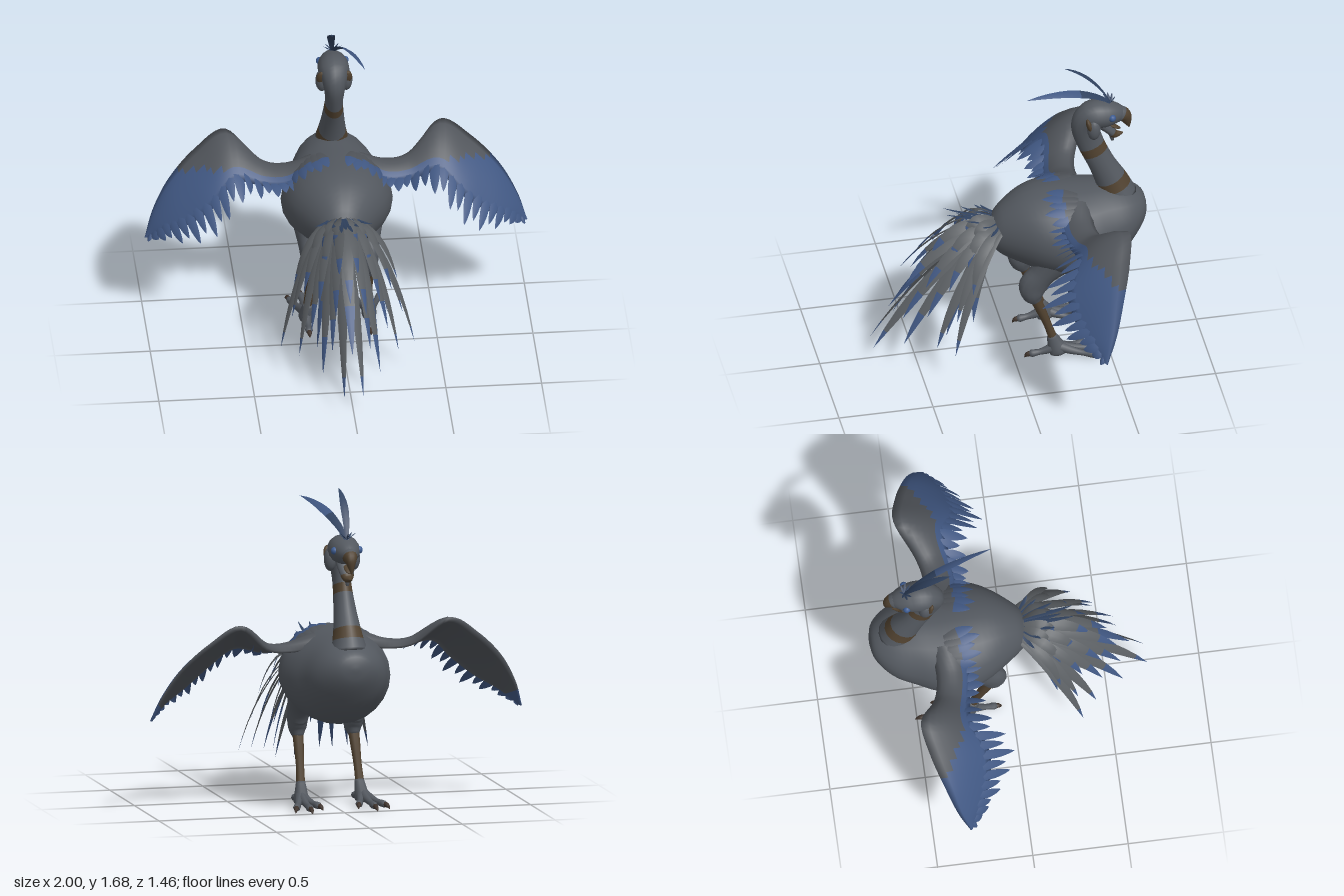
import * as THREE from 'three';

const V = (a) => new THREE.Vector3(...a);
const flat = (name, color, side = THREE.FrontSide) => {
  const m = new THREE.MeshStandardMaterial({ color, side });
  m.name = name;
  return m;
};
const curve = (pts) => new THREE.CatmullRomCurve3(pts.map(V), false, 'catmullrom');

// indexed geometry from points and one face list per material
function solid(pos, faces) {
  const g = new THREE.BufferGeometry();
  g.setAttribute('position', new THREE.Float32BufferAttribute(pos.flatMap((p) => [p.x, p.y, p.z]), 3));
  g.setIndex(faces.flat());
  let start = 0;
  faces.forEach((f, i) => { g.addGroup(start, f.length, i); start += f.length; });
  g.computeVertexNormals();
  return g;
}

// smooth body through stations [x, y, z, halfWidth, halfHeight]; angle j/sides starts at +x
function sweep(st, { sides = 14, rows = 4 * (st.length - 1), dir = null, paint = () => 0, colors = 1 } = {}) {
  const path = curve(st.map((s) => s.slice(0, 3)));
  const size = curve(st.map((s) => [s[3], s[4] ?? s[3], 0]));
  const pos = [], faces = Array.from({ length: colors }, () => []);
  for (let i = 0; i <= rows; i++) {
    const c = path.getPoint(i / rows), r = size.getPoint(i / rows);
    const t = dir ? V(dir) : path.getTangent(i / rows);
    const s = V([1, 0, 0]).addScaledVector(t, -t.x).normalize();
    const n = t.clone().cross(s);
    for (let j = 0; j < sides; j++) {
      const a = (j / sides) * Math.PI * 2;
      pos.push(c.clone().addScaledVector(s, Math.max(r.x, 0.001) * Math.cos(a))
        .addScaledVector(n, Math.max(r.y, 0.001) * Math.sin(a)));
      if (i === rows) continue;
      const p = i * sides + j, q = i * sides + (j + 1) % sides;
      faces[paint((i + 0.5) / rows)].push(p, q, q + sides, p, q + sides, p + sides);
    }
  }
  const last = rows * sides;
  pos.push(path.getPoint(0), path.getPoint(1));
  for (let j = 0; j < sides; j++) {
    const k = (j + 1) % sides;
    faces[paint(0)].push(last + sides, k, j);
    faces[paint(1)].push(last + sides + 1, last + j, last + k);
  }
  return solid(pos, faces);
}

// thin curved blade with a raised shaft; second material past the split
function feather(base, ctrl, tip, w, split = 0.7, up = V([0, 1, 0])) {
  const c = new THREE.QuadraticBezierCurve3(base, ctrl, tip), rows = 9;
  const pos = [], faces = [[], []];
  for (let i = 0; i <= rows; i++) {
    const u = i / rows, p = c.getPoint(u), t = c.getTangent(u);
    const s = t.clone().cross(up).normalize(), n = s.clone().cross(t);
    const h = w * Math.min(1, 0.4 + 1.2 * u) * Math.pow(1 - u ** 3, 0.85);
    pos.push(p.clone().addScaledVector(s, -h), p.clone().addScaledVector(n, h * 0.2), p.clone().addScaledVector(s, h));
    if (i < rows) for (const k of [3 * i, 3 * i + 1]) {
      faces[u < split ? 0 : 1].push(k, k + 1, k + 4, k, k + 4, k + 3);
    }
  }
  return solid(pos, faces);
}

function mirrored(g) {
  const m = g.clone().scale(-1, 1, 1), ix = m.index.array;
  for (let i = 0; i < ix.length; i += 3) [ix[i], ix[i + 1]] = [ix[i + 1], ix[i]];
  m.computeVertexNormals();
  return m;
}

export function createModel() {
  const model = new THREE.Group();
  const slate = flat('slate', 0x53585f);
  const covert = flat('wing slate', 0x50545a, THREE.DoubleSide);
  const grey = flat('feather grey', 0x5a5e62, THREE.DoubleSide);
  const blue = flat('feather blue', 0x405782, THREE.DoubleSide);
  const navy = flat('crest navy', 0x30425f, THREE.DoubleSide);
  const brown = flat('brown', 0x50412f);
  const claw = flat('claw', 0x40342d);
  const eyeBlue = flat('eye blue', 0x3d5c92);

  const add = (name, geo, mats, pair = false) => {
    const put = (n, g) => {
      const m = new THREE.Mesh(g, mats);
      m.name = n;
      model.add(m);
    };
    put(pair ? name + 'Left' : name, geo);
    if (pair) put(name + 'Right', mirrored(geo));
  };

  // body: [z, bottom, top, half width]
  add('body', sweep([
    [0.1, 0.67, 0.78, 0.05], [0.08, 0.63, 0.81, 0.09], [0.04, 0.59, 0.86, 0.13], [-0.05, 0.545, 0.92, 0.2],
    [-0.15, 0.5, 0.95, 0.26], [-0.27, 0.465, 0.955, 0.292], [-0.4, 0.455, 0.95, 0.272], [-0.5, 0.49, 0.945, 0.232],
    [-0.6, 0.56, 0.925, 0.195], [-0.67, 0.645, 0.895, 0.145], [-0.715, 0.72, 0.86, 0.085], [-0.73, 0.78, 0.81, 0.02],
  ].map(([z, b, t, w]) => [0, (b + t) / 2, z, w, (t - b) / 2]), { sides: 24, rows: 33, dir: [0, 0, -1] }), slate);

  // neck and skull, with brown collars
  add('neckAndHead', sweep([
    [0, 0.86, -0.585, 0.1, 0.1], [0, 0.96, -0.55, 0.075, 0.085], [0, 1.08, -0.495, 0.058, 0.07], [0, 1.22, -0.435, 0.047, 0.07],
    [0, 1.33, -0.408, 0.06, 0.073], [0, 1.385, -0.445, 0.08, 0.077], [0, 1.387, -0.51, 0.08, 0.073],
    [0, 1.382, -0.57, 0.06, 0.056], [0, 1.375, -0.615, 0.03, 0.03],
  ], { sides: 16, rows: 48, colors: 2, paint: (u) => ((u > 0.08 && u < 0.155) || (u > 0.31 && u < 0.352) ? 1 : 0) }), [slate, brown]);
  add('upperBeak', sweep([[0, 1.375, -0.54, 0.058, 0.05], [0, 1.374, -0.59, 0.045, 0.046], [0, 1.358, -0.618, 0.034, 0.038],
    [0, 1.325, -0.632, 0.02, 0.025], [0, 1.283, -0.643, 0.003, 0.004]], { colors: 2, paint: (u) => (u > 0.4 ? 1 : 0) }), [slate, brown]);
  add('lowerBeak', sweep([[0, 1.335, -0.49, 0.05, 0.03], [0, 1.285, -0.535, 0.042, 0.024], [0, 1.25, -0.565, 0.028, 0.022],
    [0, 1.25, -0.61, 0.004, 0.004]], { colors: 2, paint: (u) => (u > 0.5 ? 1 : 0) }), [slate, brown]);
  add('chinTuft', sweep([[0, 1.26, -0.55, 0.02], [0, 1.21, -0.555, 0.008]], { sides: 8 }), slate);
  add('tongue', new THREE.SphereGeometry(1, 10, 6).scale(0.02, 0.008, 0.045).rotateX(-0.5).translate(0, 1.3, -0.56), brown);
  add('cheek', new THREE.SphereGeometry(1, 14, 10).scale(0.033, 0.062, 0.036).translate(0.064, 1.335, -0.443), slate, true);
  add('ear', new THREE.SphereGeometry(1, 12, 8).scale(0.026, 0.042, 0.015).rotateX(0.25).translate(0.068, 1.365, -0.418), brown, true);
  add('eye', new THREE.SphereGeometry(0.02, 12, 8).translate(0.066, 1.395, -0.54), eyeBlue, true);

  // crest
  const root = V([0, 1.45, -0.545]);
  add('longCrestFeather', feather(root, V([0.055, 1.61, -0.39]), V([0.13, 1.615, -0.07]), 0.028, 0.4, V([0.45, 1, 0])), [navy, blue]);
  add('tallCrestFeather', feather(root, V([-0.02, 1.63, -0.455]), V([-0.02, 1.685, -0.3]), 0.024), [navy, navy]);
  for (let i = 0; i < 8; i++) {
    const a = (i / 8) * Math.PI * 2, x = Math.cos(a), z = Math.sin(a);
    const tip = V([x * 0.05, 1.485, -0.535 + z * 0.035]);
    add('crestTuft', feather(root, root.clone().lerp(tip, 0.5), tip, 0.007), [navy, navy]);
  }

  // legs and feet
  add('thigh', sweep([[0.15, 0.62, -0.23, 0.09, 0.12], [0.15, 0.525, -0.155, 0.065, 0.075], [0.15, 0.455, -0.107, 0.053, 0.08],
    [0.15, 0.395, -0.102, 0.047, 0.06], [0.15, 0.345, -0.12, 0.025, 0.028]]), slate, true);
  add('shin', sweep([[0.15, 0.37, -0.112, 0.03], [0.152, 0.3, -0.14, 0.027], [0.155, 0.2, -0.177, 0.022],
    [0.16, 0.09, -0.212, 0.025]], { sides: 10 }), brown, true);
  add('ankle', sweep([[0.158, 0.125, -0.2, 0.025], [0.16, 0.08, -0.215, 0.033, 0.04], [0.165, 0.03, -0.235, 0.04, 0.05],
    [0.165, 0.012, -0.24, 0.025, 0.035]], { sides: 10 }), slate, true);
  [[0.095, -0.42], [0.175, -0.51], [0.253, -0.46], [0.16, -0.055]].forEach(([x, z]) => {
    const at = (u, y, r) => [0.165 + (x - 0.165) * u, y, -0.225 + (z + 0.225) * u, r];
    add('toe', sweep([at(0, 0.06, 0.03), at(0.3, 0.04, 0.022), at(0.55, 0.03, 0.016), at(0.76, 0.026, 0.02), at(0.85, 0.022, 0.013)],
      { sides: 8 }), slate, true);
    add('claw', sweep([at(0.8, 0.026, 0.014), at(0.92, 0.022, 0.012), at(1, 0.006, 0.002)], { sides: 6 }), claw, true);
  });

  // wings: leading and trailing edges
  const lead = curve([[0.12, 0.87, -0.42], [0.27, 0.855, -0.41], [0.4, 0.88, -0.44], [0.56, 1.015, -0.53],
    [0.72, 0.925, -0.5], [0.86, 0.79, -0.44], [0.95, 0.64, -0.385], [1, 0.5, -0.325]]);
  const trail = curve([[0.12, 0.925, -0.18], [0.25, 0.82, -0.16], [0.38, 0.8, -0.17], [0.52, 0.78, -0.14],
    [0.62, 0.67, -0.05], [0.74, 0.585, -0.09], [0.87, 0.55, -0.19], [0.97, 0.51, -0.3]]);
  const normalAt = (u) => trail.getPoint(u).sub(lead.getPoint(u)).cross(lead.getTangent(u)).normalize();
  const rows = 42, cols = 8, ring = cols * 2;
  const pos = [], faces = [[], []];
  for (let i = 0; i <= rows; i++) {
    const u = i / rows, L = lead.getPoint(u), T = trail.getPoint(u), n = normalAt(u);
    for (let j = 0; j < ring; j++) {
      const over = j <= cols, v = (over ? j : ring - j) / cols;
      const thick = (0.024 * (1 - u) + 0.006) * Math.sqrt(v) * (1 - v) * 2.4;
      pos.push(L.clone().lerp(T, v * 0.7).addScaledVector(n, (over ? thick : -thick) + 0.025 * Math.sin(Math.PI * v) * (1 - u)));
      if (i === rows) continue;
      const p = i * ring + j, q = i * ring + (j + 1) % ring;
      const tinted = j < cols ? u + 0.3 * v > 0.66 || v > 0.72 : u > 0.9;
      faces[tinted ? 1 : 0].push(p, q, q + ring, p, q + ring, p + ring);
    }
  }
  add('wing', solid(pos, faces), [covert, blue], true);
  for (let i = 0; i < 21; i++) {
    const u = 0.02 + 0.97 * (i / 20), L = lead.getPoint(u), T = trail.getPoint(u), n = normalAt(u);
    if (i % 2 && u < 0.9) T.lerp(L, 0.1);
    const base = L.clone().lerp(T, 0.4), mid = L.clone().lerp(T, 0.72).addScaledVector(n, 0.012);
    add('wingFeather', feather(base, mid, T, u < 0.45 ? 0.032 : 0.028, 0, n), [grey, blue], true);
  }

  // shoulder feathers lying flat on the back
  const onBack = (x, z, top, w, h) => V([x, top - h + h * Math.sqrt(1 - (x / w) ** 2) + 0.008, z]);
  for (let i = 0; i < 5; i++) {
    const x = 0.05 + 0.042 * i, z = i % 2 ? -0.16 : -0.19;
    const base = onBack(0.09 + 0.03 * i, -0.35, 0.953, 0.285, 0.247), tip = onBack(x, z, 0.953, 0.27, 0.225);
    const up = V([x / 0.073, (tip.y - 0.728) / 0.051, 0]);
    add('shoulderFeather', feather(base, base.clone().lerp(tip, 0.5).addScaledVector(up.normalize(), 0.012), tip, 0.034, 0.4, up),
      [covert, blue], true);
  }

  // tail: tip, half width, start of the blue end; outer blades roll to the side
  const tail = (name, list, lift) => list.forEach(([x, y, z, w, split]) => {
    const tip = V([x, y, z]), base = V([x * 0.28, 0.745 + lift * 0.3, 0.05]);
    const ctrl = base.clone().lerp(tip, 0.5).add(V([x * 0.12, lift, 0.06]));
    add(name, feather(base, ctrl, tip, w, split, V([x > 0 ? 0.75 : 0, 1, 0.2])), [grey, blue], x > 0);
  });
  tail('tailFeather', [[0.05, 0.1, 0.725, 0.036, 0.8], [0.15, 0.17, 0.585, 0.036, 0.7], [0.26, 0.2, 0.43, 0.032, 0.8],
    [0.35, 0.2, 0.35, 0.028, 0.85], [0.16, 0.2, 0.36, 0.032, 0.6], [0.22, 0.31, 0.23, 0.03, 0.7],
    [0, 0.31, 0.64, 0.036, 0.65], [0.1, 0.3, 0.58, 0.034, 0.75], [0.2, 0.36, 0.47, 0.034, 0.75], [0.29, 0.37, 0.33, 0.028, 0.8]], 0.1);
  tail('tailCovert', [[0, 0.55, 0.52, 0.036, 0.75], [0.08, 0.5, 0.56, 0.036, 0.7], [0.16, 0.52, 0.47, 0.034, 0.75],
    [0.23, 0.53, 0.36, 0.032, 0.7], [0.27, 0.52, 0.24, 0.03, 0.8], [0.05, 0.66, 0.42, 0.036, 0.75],
    [0.13, 0.64, 0.35, 0.034, 0.75], [0.19, 0.64, 0.25, 0.032, 0.7], [0.06, 0.74, 0.24, 0.034, 0.75], [0.12, 0.71, 0.2, 0.032, 0.75]], 0.13);

  // fine dark plumes at the tail root
  [[0, 0.86, 0.28], [0.03, 0.88, 0.34], [0.07, 0.85, 0.24], [0.11, 0.825, 0.16], [0.15, 0.79, 0.12]].forEach((t) => {
    const tip = V(t), base = V([t[0] * 0.3, 0.8, 0.05]);
    add('tailPlume', feather(base, base.clone().lerp(tip, 0.6).add(V([0, -0.02, 0])), tip, 0.012), [navy, navy], t[0] > 0);
  });

  return model;
}
